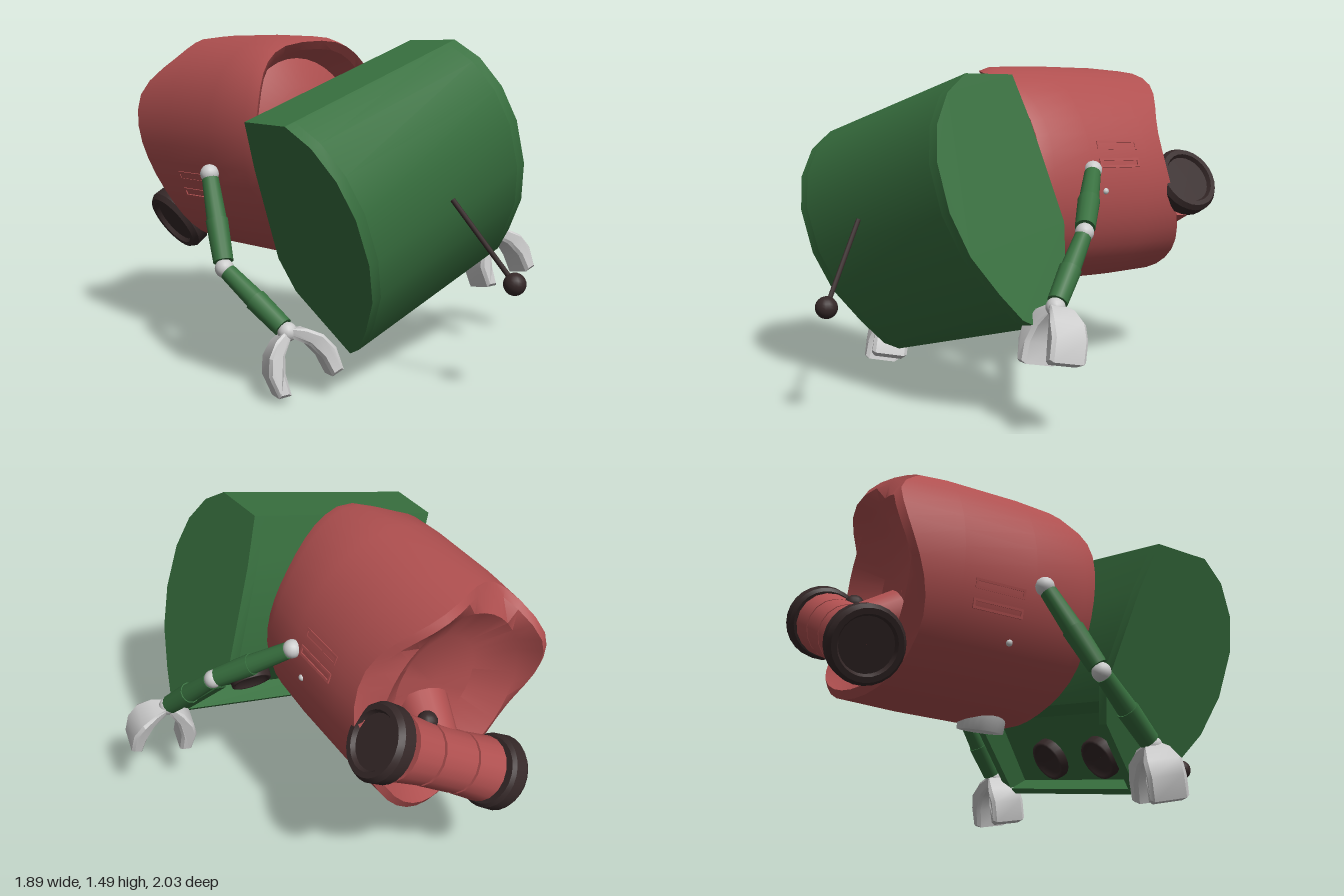
import * as THREE from 'three';
import { toCreasedNormals } from 'three/addons/utils/BufferGeometryUtils.js';

const V = (x, y, z) => new THREE.Vector3(x, y, z);
const mat = (color) => new THREE.MeshStandardMaterial({ color, side: THREE.DoubleSide });
const red = mat(0xb05050), green = mat(0x38703f), black = mat(0x352828), grey = mat(0xcccccc);

function add(parent, name, geometry, material, pos) {
  const mesh = new THREE.Mesh(geometry, material);
  mesh.name = name;
  if (pos) mesh.position.copy(pos);
  parent.add(mesh);
  return mesh;
}

// Group with its own axes: Y stays as given, X is squared up, Z follows
function frame(parent, name, origin, x, y) {
  const g = new THREE.Group();
  const Y = y.clone().normalize();
  const X = x.clone().addScaledVector(Y, -x.dot(Y)).normalize();
  const Z = X.clone().cross(Y);
  g.quaternion.setFromRotationMatrix(new THREE.Matrix4().makeBasis(X, Y, Z));
  g.position.copy(origin);
  g.name = name;
  parent.add(g);
  return g;
}

// Cylinder between two points
function rod(parent, name, a, b, r0, r1, material, sides = 14) {
  const dir = b.clone().sub(a);
  const mesh = add(parent, name, new THREE.CylinderGeometry(r1, r0, dir.length(), sides), material, a.clone().lerp(b, 0.5));
  mesh.quaternion.setFromUnitVectors(V(0, 1, 0), dir.normalize());
  return mesh;
}

// Surface of revolution from [radius, height] pairs
const lathe = (pts, sides = 24) =>
  new THREE.LatheGeometry(pts.map(([r, y]) => new THREE.Vector2(r, y)), sides);

const shapeOf = (pts) => new THREE.Shape(pts.map(([x, y]) => new THREE.Vector2(x, y)));

// Smooth periodic value from [degrees, value] keys
function around(keys, deg) {
  for (let i = 0; i < keys.length; i++) {
    const [d0, v0] = keys[i], [d1, v1] = keys[(i + 1) % keys.length];
    const span = (d1 - d0 + 360) % 360, t = (deg - d0 + 720) % 360;
    if (t <= span) return v0 + (v1 - v0) * (1 - Math.cos(Math.PI * t / span)) / 2;
  }
  return 0;
}
const REAR_RIM = [[-138, -0.5], [-102, -0.34], [-53, -0.46], [-5, -0.33], [70, -0.5], [160, -0.36]];
const FRONT_RIM = [[-145, 0.47], [-93, 0.37], [-65, 0.49], [-10, 0.42], [50, 0.44], [100, 0.37], [160, 0.45]];

function buildBody(root) {
  const body = frame(root, 'body', V(-0.33, 0.94, -0.25), V(0.805, 0.328, -0.489), V(0.497, 0.04, 0.867));

  // Oval shell, pocketed at the rear, domed inside the front rim; rims are heights relative to the scallops
  const shell = lathe([[0.01, -0.28], [0.45, -0.29], [0.78, -0.4], [0.92, -0.47], [0.99, -0.45], [1.01, -0.2],
    [1.01, 0.15], [0.99, 0.38], [0.95, 0.44], [0.88, 0.41], [0.8, 0.28], [0.55, 0.34], [0.01, 0.38]], 40);
  const p = shell.attributes.position;
  for (let i = 0; i < p.count; i++) {
    const x = p.getX(i), y = p.getY(i), z = p.getZ(i);
    const deg = Math.atan2(z, x) * 180 / Math.PI, r = Math.hypot(x, z);
    let dy = 0;
    if (r > 0.85 && y > 0.35) dy = around(FRONT_RIM, deg) - 0.44;
    if (r > 0.85 && y < -0.35) dy = around(REAR_RIM, deg) + 0.47;
    p.setXYZ(i, x * 0.43, y + dy, z * 0.52);
  }
  shell.computeVertexNormals();
  add(body, 'bodyShell', toCreasedNormals(shell, 0.6), red);

  for (const s of [-1, 1]) {
    // Side vents: raised frames around a slot
    for (const z of [-0.02, 0.065]) {
      const slot = shapeOf([[-0.12, -0.022], [0.12, -0.022], [0.12, 0.022], [-0.12, 0.022]]);
      slot.holes.push(shapeOf([[-0.11, -0.011], [-0.11, 0.011], [0.11, 0.011], [0.11, -0.011]]));
      const g = new THREE.ExtrudeGeometry(slot, { depth: 0.02, bevelEnabled: false });
      const vent = add(body, 'vent', g, red, V(s * 0.426 - 0.01, -0.02, z));
      vent.quaternion.setFromRotationMatrix(new THREE.Matrix4().makeBasis(V(0, 1, 0), V(0, 0, 1), V(1, 0, 0)));
    }
    add(body, 'sideStud', new THREE.SphereGeometry(0.016, 10, 8), grey, V(s * 0.4, 0.07, 0.19));
  }

  // Chest lamp and neck
  const lamp = add(body, 'chestLamp', lathe([[0.001, 0.02], [0.07, 0.015], [0.085, 0.04], [0.105, 0.04], [0.11, -0.04]]), grey, V(-0.06, 0.17, 0.51));
  lamp.rotation.x = Math.PI / 2;
  rod(body, 'neck', V(0, 0.3, 0.12), V(0.03, 0.56, 0.16), 0.14, 0.12, red, 18);
}

// Slab of the head between two stations (0 = right end, 1 = left end); the two ends lean differently
function headSlab(profile, from, to) {
  const g = new THREE.ExtrudeGeometry(shapeOf(profile), { depth: 1, bevelEnabled: false });
  const p = g.attributes.position;
  for (let i = 0; i < p.count; i++) {
    const e = p.getX(i), w = p.getY(i), t = from + (to - from) * p.getZ(i);
    const right = -0.475 - 0.12 * e - 0.08 * w, left = 0.57 - 0.06 * e;
    p.setZ(i, right + (left - right) * t);
  }
  g.computeVertexNormals();
  return toCreasedNormals(g, 0.45);
}

function buildHead(root) {
  const e = V(-0.227, 0.96, 0.163), w = V(0.583, 0, 0.812);
  const head = frame(root, 'head', V(0.13, 0.77, 0.45), e, w);

  // Rounded crown and chin shared by all slabs; the face is recessed between two end plates
  const chin = [[-0.13, -0.33], [0.315, -0.275], [0.54, -0.23]];
  const crown = [[0.55, 0.03], [0.47, 0.15], [0.34, 0.24], [0.18, 0.285], [-0.03, 0.28], [-0.22, 0.225], [-0.39, 0.12], [-0.51, 0.03]];
  const plate = [...chin, ...crown, [-0.55, -0.04], [-0.29, -0.285]];
  const middle = [...chin, ...crown, [-0.55, -0.04], [-0.53, -0.06], [-0.47, 0.015], [-0.21, -0.205], [-0.19, -0.31]];
  add(head, 'headShell', headSlab(middle, 0.05, 0.95), green);
  add(head, 'rightCheek', headSlab(plate, 0, 0.05), green);
  add(head, 'leftCheek', headSlab(plate, 0.95, 1), green);

  // Ringed eyes on the recessed face
  const face = frame(head, 'face', V(-0.375, -0.065, 0.04), V(0, 0, 1), V(-0.646, -0.763, 0));
  for (const s of [-1, 1]) {
    add(face, 'eye', lathe([[0.001, 0.015], [0.075, 0.015], [0.085, 0.04], [0.1, 0.04], [0.105, -0.02]]), black, V(s * 0.19, 0, 0));
  }

  // Antenna
  const tip = V(0.54, 0.48, 0.86);
  rod(root, 'antennaRod', V(0.31, 0.815, 0.725), tip, 0.011, 0.011, black, 8);
  add(root, 'antennaBall', new THREE.SphereGeometry(0.048, 16, 12), black, tip);
}

function buildArm(root, side, shoulder, elbow, wrist, spread, reach) {
  const arm = new THREE.Group();
  arm.name = side + 'Arm';
  root.add(arm);
  for (const [name, a, b] of [['upperArm', shoulder, elbow], ['forearm', elbow, wrist]]) {
    // two sleeves, the lower one slightly wider
    const mid = a.clone().lerp(b, 0.5);
    rod(arm, name, a.clone().lerp(b, 0.06), mid, 0.038, 0.045, green);
    rod(arm, name + 'Sleeve', mid, a.clone().lerp(b, 0.93), 0.05, 0.045, green);
  }
  for (const [name, at] of [['shoulderJoint', shoulder], ['elbowJoint', elbow], ['wristJoint', wrist]]) {
    add(arm, name, new THREE.SphereGeometry(0.042, 16, 12), grey, at);
  }

  // Two-fingered gripper
  const hand = frame(arm, side + 'Hand', wrist, spread, reach);
  const outline = [[0, -0.015], [0.07, 0.01], [0.125, 0.06], [0.155, 0.13], [0.15, 0.23], [0.095, 0.24], [0.085, 0.15], [0.055, 0.08], [0, 0.025]];
  for (const s of [-1, 1]) {
    const g = new THREE.ExtrudeGeometry(shapeOf(outline.map(([x, y]) => [s * x, y])), {
      depth: 0.11, bevelThickness: 0.012, bevelSize: 0.012, bevelOffset: -0.012, bevelSegments: 1 });
    // fingers widen from knuckle to tip
    const p = g.attributes.position;
    for (let i = 0; i < p.count; i++) {
      p.setZ(i, (p.getZ(i) - 0.055) * (0.5 + 0.75 * THREE.MathUtils.smoothstep(Math.abs(p.getX(i)), 0, 0.12)));
    }
    g.computeVertexNormals();
    add(hand, 'finger', toCreasedNormals(g, 0.5), grey);
  }
}

function buildWheels(root) {
  const a = V(-0.745, 0.53, -0.605), b = V(-0.23, 0.895, -0.86);
  const at = (t) => a.clone().lerp(b, t);
  // Stepped axle housing
  rod(root, 'axleCore', at(0.03), at(0.97), 0.11, 0.11, red, 18);
  rod(root, 'axleSleeve', at(0.12), at(0.34), 0.145, 0.135, red, 18);
  rod(root, 'axleSleeve', at(0.36), at(0.64), 0.135, 0.135, red, 18);
  rod(root, 'axleSleeve', at(0.66), at(0.88), 0.135, 0.145, red, 18);
  rod(root, 'axleStrut', at(0.5), V(-0.42, 0.83, -0.5), 0.1, 0.12, red, 16);
  add(root, 'strutKnob', new THREE.SphereGeometry(0.045, 12, 10), black, V(-0.43, 0.88, -0.7));
  // Wheels with dished outer faces
  const tyre = toCreasedNormals(lathe([[0.001, -0.05], [0.15, -0.05], [0.165, -0.035], [0.168, 0.025], [0.152, 0.05],
    [0.128, 0.05], [0.118, 0.03], [0.001, 0.03]], 26), 0.5);
  const out = b.clone().sub(a).normalize();
  for (const [name, pos, s] of [['rightWheel', a, -1], ['leftWheel', b, 1]]) {
    const wheel = add(root, name, tyre, black, pos);
    wheel.quaternion.setFromUnitVectors(V(0, 1, 0), out.clone().multiplyScalar(s));
  }
}

export function createModel() {
  const root = new THREE.Group();
  root.name = 'tumbledRobot';
  buildBody(root);
  buildHead(root);
  buildArm(root, 'left', V(0.13, 1.0, -0.34), V(0.49, 0.77, -0.24), V(0.73, 0.5, -0.08), V(0.24, 0.08, -0.1), V(0.07, -0.24, 0.03));
  buildArm(root, 'right', V(-0.64, 0.86, 0.13), V(-0.6, 0.48, 0.36), V(-0.36, 0.25, 0.59), V(0.23, 0.09, -0.04), V(0.075, -0.2, 0.03));
  buildWheels(root);
  return root;
}
